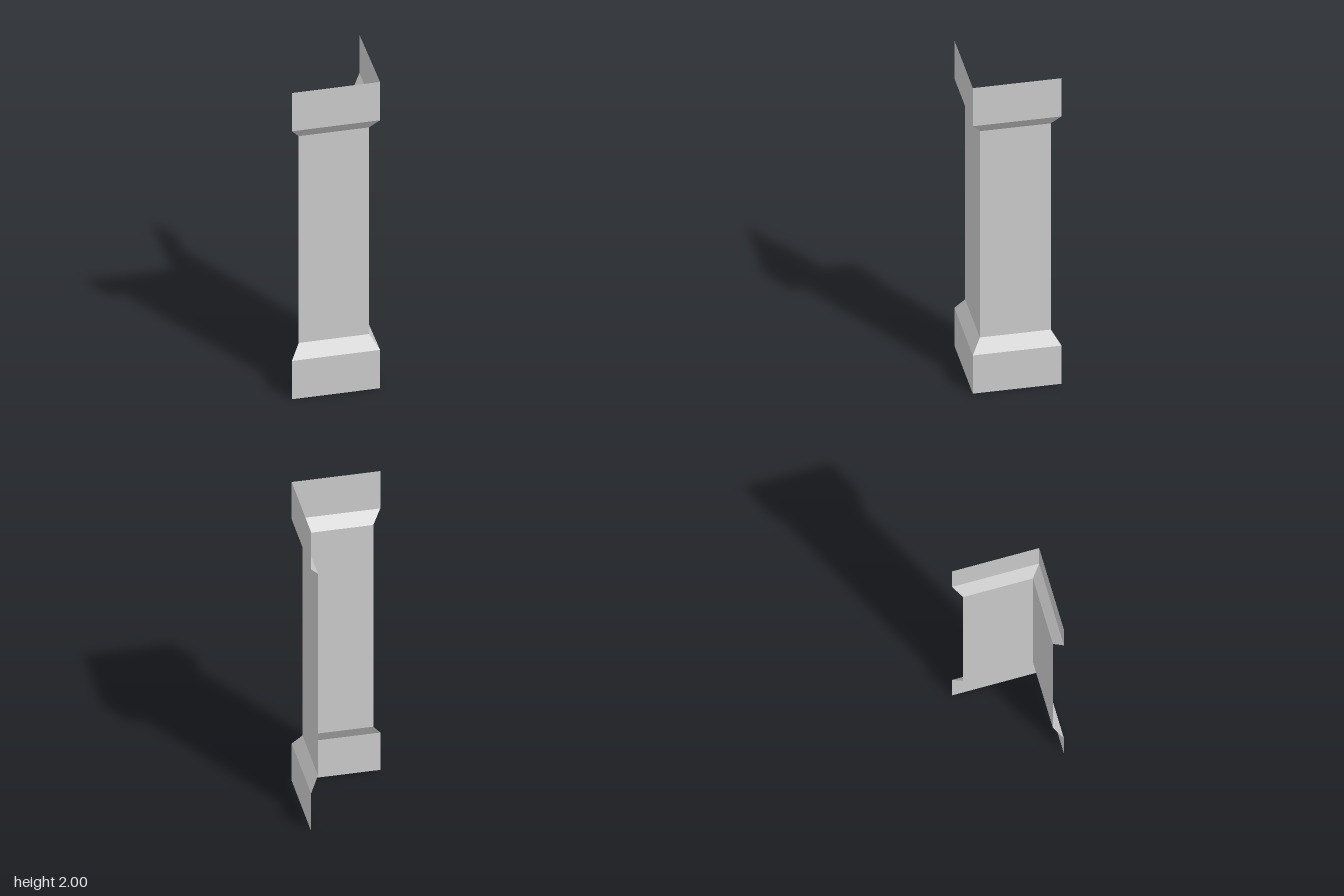
import * as THREE from 'three';

// Pillar bands, bottom to top: name, lower y, upper y, lower and upper half width
const BANDS = [
  ['base', 0, 0.25, 0.25, 0.25],
  ['baseBevel', 0.25, 0.33, 0.25, 0.2],
  ['shaft', 0.33, 1.68, 0.2, 0.2],
  ['capitalBevel', 1.68, 1.75, 0.2, 0.25],
  ['capital', 1.75, 2, 0.25, 0.25],
];

// One flat panel facing +z, mitred at the sides so neighbours meet at the corner
function panel(y0, y1, r0, r1) {
  const geometry = new THREE.BufferGeometry();
  geometry.setAttribute('position', new THREE.Float32BufferAttribute([
    -r0, y0, r0, r0, y0, r0, r1, y1, r1, -r1, y1, r1,
  ], 3));
  geometry.setIndex([0, 1, 2, 0, 2, 3]);
  geometry.computeVertexNormals();
  return geometry;
}

export function createModel() {
  const stone = new THREE.MeshStandardMaterial({ color: 0xcccccc });
  stone.name = 'grey stone';
  stone.side = THREE.DoubleSide;
  stone.flatShading = true;

  const model = new THREE.Group();
  model.name = 'cornerPillar';

  // Two open walls meeting at the +x, +z corner
  [['frontWall', 0], ['sideWall', Math.PI / 2]].forEach(([wallName, turn]) => {
    const wall = new THREE.Group();
    wall.name = wallName;
    wall.rotation.y = turn;
    for (const [name, ...size] of BANDS) {
      const mesh = new THREE.Mesh(panel(...size), stone);
      mesh.name = name;
      wall.add(mesh);
    }
    model.add(wall);
  });
  return model;
}
